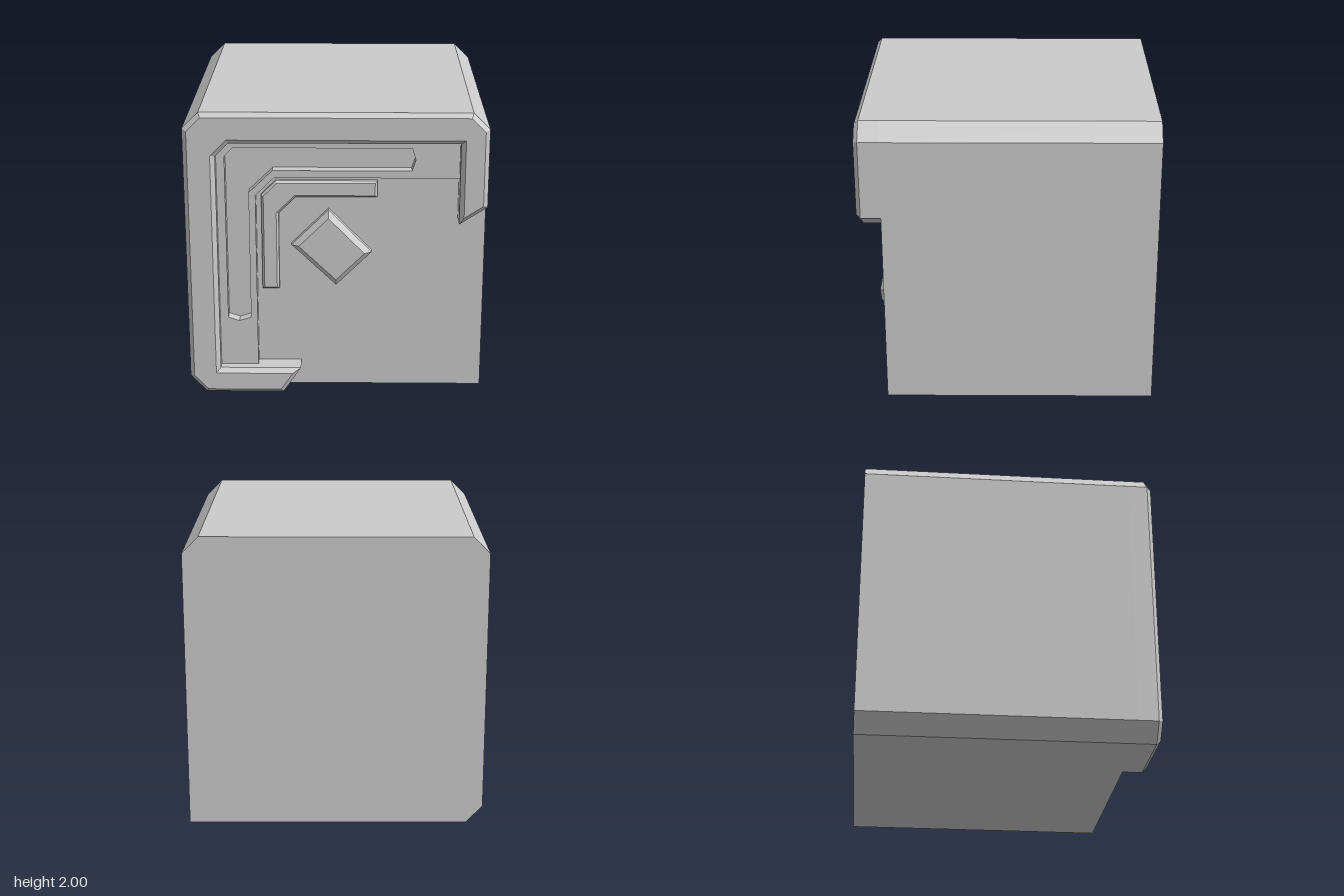
import * as THREE from 'three';

const FACE = 0.835; // z of the block's front face
const material = new THREE.MeshStandardMaterial({ color: 0xcccccc, flatShading: true });
const vectors = (pts) => pts.map(([x, y]) => new THREE.Vector2(x, y));

// Moves every edge of a counter-clockwise outline inward by d, with mitred corners
function inset(pts, d) {
  const n = pts.length;
  return pts.map((p, i) => {
    const a = p.clone().sub(pts[(i + n - 1) % n]).normalize();
    const b = pts[(i + 1) % n].clone().sub(p).normalize();
    const na = new THREE.Vector2(-a.y, a.x);
    const nb = new THREE.Vector2(-b.y, b.x);
    return na.clone().add(nb).multiplyScalar(d / (1 + na.dot(nb))).add(p);
  });
}

// Raised plate standing on the front face, with a chamfer around its front edge
function chamferedPlate(name, outline, z, bevel) {
  const base = vectors(outline);
  const top = inset(base, bevel);
  const n = base.length;
  const rings = [[base, FACE], [base, z - bevel], [top, z]];
  const positions = [];
  for (const [ring, rz] of rings) for (const p of ring) positions.push(p.x, p.y, rz);
  const index = [];
  for (let r = 0; r < 2; r++) {
    for (let i = 0; i < n; i++) {
      const a = r * n + i, b = r * n + (i + 1) % n;
      index.push(a, b, b + n, a, b + n, a + n);
    }
  }
  for (const f of THREE.ShapeUtils.triangulateShape(top, [])) index.push(...f.map((i) => i + 2 * n));
  const indexed = new THREE.BufferGeometry();
  indexed.setAttribute('position', new THREE.Float32BufferAttribute(positions, 3));
  indexed.setIndex(index);
  const geometry = indexed.toNonIndexed();
  geometry.computeVertexNormals();
  const mesh = new THREE.Mesh(geometry, material);
  mesh.name = name;
  return mesh;
}

// Straight-walled slab between two depths, with optional holes
function slab(name, outline, z0, z1, holes = []) {
  const shape = new THREE.Shape(vectors(outline));
  for (const h of holes) shape.holes.push(new THREE.Path(vectors(h)));
  const geometry = new THREE.ExtrudeGeometry(shape, { depth: z1 - z0, bevelEnabled: false });
  geometry.translate(0, 0, z0);
  const mesh = new THREE.Mesh(geometry, material);
  mesh.name = name;
  return mesh;
}

export function createModel() {
  const group = new THREE.Group();
  group.name = 'panelledBlock';

  // Block with three chamfered long edges
  group.add(slab('body', [
    [-0.89, 0], [1, 0], [1, 1.89], [0.89, 2], [-0.89, 2], [-1, 1.89], [-1, 0.12],
  ], -1, FACE));

  // Outer rim, open at the lower right with slanted ends
  group.add(chamferedPlate('rim', [
    [-0.89, 0], [-0.36, 0], [-0.24, 0.18], [-0.79, 0.18], [-0.79, 1.7], [-0.7, 1.79],
    [0.815, 1.79], [0.815, 1.235], [1, 1.355], [1, 1.89], [0.89, 2], [-0.89, 2],
    [-1, 1.89], [-1, 0.12],
  ], 1, 0.03));

  // L-shaped panel inside the rim, cut by a bent slot
  const slot = [
    [-0.735, 0.53], [-0.66, 0.505], [-0.58, 0.53], [-0.58, 1.43], [-0.42, 1.585],
    [0.5, 1.585], [0.525, 1.66], [0.5, 1.74], [-0.68, 1.74], [-0.735, 1.68],
  ];
  group.add(slab('cornerPanel', [
    [-0.79, 0.18], [-0.535, 0.18], [-0.535, 1.41], [-0.41, 1.535], [0.815, 1.535],
    [0.815, 1.79], [-0.7, 1.79], [-0.79, 1.7],
  ], FACE, 0.91, [slot]));

  // Narrow raised corner strip
  group.add(chamferedPlate('cornerStrip', [
    [-0.5, 0.725], [-0.385, 0.725], [-0.385, 1.27], [-0.27, 1.385], [0.275, 1.385],
    [0.275, 1.5], [-0.4, 1.5], [-0.5, 1.4],
  ], 0.875, 0.015));

  // Diamond stud
  group.add(chamferedPlate('diamond', [
    [-0.3, 1.05], [0, 0.76], [0.24, 1], [-0.05, 1.3],
  ], 0.91, 0.035));

  return group;
}
